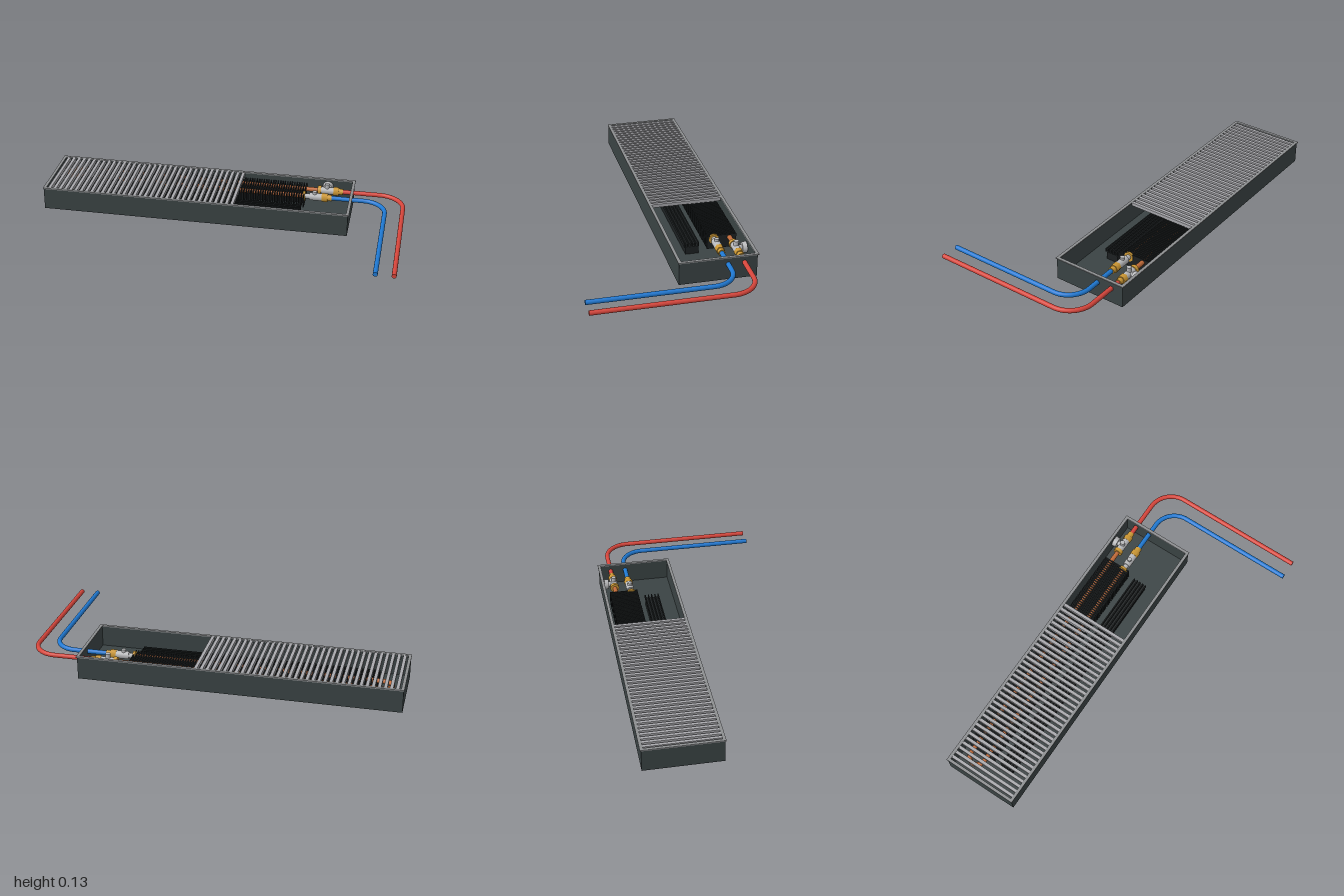
import * as THREE from 'three';

const mat = (name, color) => Object.assign(new THREE.MeshStandardMaterial({ color }), { name });

export function createModel() {
  const root = new THREE.Group();
  root.name = 'trenchConvector';
  const shell = mat('charcoal', 0x3a4344), rimGrey = mat('rimGrey', 0x8c8e90);
  const slatGrey = mat('slatGrey', 0xa9a9ad), black = mat('finBlack', 0x1d2122);
  const copper = mat('copper', 0xc06a38), brass = mat('brass', 0xcf9a35);
  const chrome = mat('chrome', 0xb9babc), red = mat('red', 0xd5453b), blue = mat('blue', 0x1f78d1);

  const add = (parent, name, geo, material, x = 0, y = 0, z = 0) => {
    const m = new THREE.Mesh(geo, material);
    m.name = name;
    m.position.set(x, y, z);
    parent.add(m);
    return m;
  };
  // box given by its limits
  const box = (parent, name, material, x0, x1, y0, y1, z0, z1) =>
    add(parent, name, new THREE.BoxGeometry(x1 - x0, y1 - y0, z1 - z0), material,
      (x0 + x1) / 2, (y0 + y1) / 2, (z0 + z1) / 2);
  // cylinder lying along x
  const rodX = (parent, name, material, x0, x1, r, y, z, sides = 20) => {
    const m = add(parent, name, new THREE.CylinderGeometry(r, r, x1 - x0, sides), material, (x0 + x1) / 2, y, z);
    m.rotation.z = Math.PI / 2;
    return m;
  };
  const group = (name) => {
    const g = new THREE.Group();
    g.name = name;
    root.add(g);
    return g;
  };

  const X0 = -0.997, X1 = 0.703, Z0 = -0.456, Z1 = -0.048, TOP = 0.122, T = 0.008;
  const PIPE_Y = 0.087, BACK_Z = -0.388, FRONT_Z = -0.303;

  // open trench casing
  const casing = group('casing');
  box(casing, 'floor', shell, X0, X1, 0, T, Z0, Z1);
  box(casing, 'frontWall', shell, X0, X1, T, TOP, Z1 - T, Z1);
  box(casing, 'backWall', shell, X0, X1, T, TOP, Z0, Z0 + T);
  box(casing, 'leftEndWall', shell, X1 - T, X1, T, TOP, Z0 + T, Z1 - T);
  box(casing, 'rightEndWall', shell, X0, X0 + T, T, TOP, Z0 + T, Z1 - T);

  // flat frame around the opening
  const rim = group('rim');
  const RX0 = -1, RX1 = 0.708, RZ0 = -0.462, RZ1 = -0.044, W = 0.016, RT = 0.128;
  box(rim, 'rimFront', rimGrey, RX0, RX1, TOP, RT, RZ1 - W, RZ1);
  box(rim, 'rimBack', rimGrey, RX0, RX1, TOP, RT, RZ0, RZ0 + W);
  box(rim, 'rimLeft', rimGrey, RX1 - W, RX1, TOP, RT, RZ0 + W, RZ1 - W);
  box(rim, 'rimRight', rimGrey, RX0, RX0 + W, TOP, RT, RZ0 + W, RZ1 - W);

  // grille slats over most of the trench
  const grille = group('grille');
  const SLATS = 35, first = -0.966, last = 0.068;
  for (let i = 0; i < SLATS; i++) {
    const x = first + (last - first) * i / (SLATS - 1);
    box(grille, 'slat', slatGrey, x - 0.0085, x + 0.0085, 0.108, 0.127, RZ0 + W, RZ1 - W);
  }

  // heat exchanger: copper loop through black fins
  const exchanger = group('heatExchanger');
  rodX(exchanger, 'backTube', copper, -0.89, 0.51, 0.0125, PIPE_Y, BACK_Z);
  rodX(exchanger, 'frontTube', copper, -0.89, 0.45, 0.0125, PIPE_Y, FRONT_Z);
  const bend = add(exchanger, 'returnBend',
    new THREE.TorusGeometry((FRONT_Z - BACK_Z) / 2, 0.0125, 14, 24, Math.PI), copper,
    -0.89, PIPE_Y, (BACK_Z + FRONT_Z) / 2);
  bend.rotation.set(Math.PI / 2, 0, Math.PI / 2);
  for (let x = -0.85; x < 0.44; x += 0.0135)
    box(exchanger, 'fin', black, x, x + 0.006, 0.03, 0.105, -0.425, -0.268);

  // long slotted air guide in front of the exchanger
  const guide = group('airGuide');
  box(guide, 'guideBody', black, -0.85, 0.43, T, 0.05, -0.225, -0.155);
  for (let i = 0; i < 5; i++) {
    const z = -0.228 + i * 0.0185;
    box(guide, 'guideRib', black, -0.85, 0.43, 0.05, 0.07, z, z + 0.006);
  }

  // return valve (front line)
  const low = group('returnValve');
  rodX(low, 'flange', brass, 0.43, 0.442, 0.026, PIPE_Y, FRONT_Z, 24);
  rodX(low, 'neck', chrome, 0.442, 0.465, 0.014, PIPE_Y, FRONT_Z);
  rodX(low, 'body', chrome, 0.465, 0.535, 0.021, PIPE_Y, FRONT_Z);
  add(low, 'spindle', new THREE.CylinderGeometry(0.012, 0.012, 0.03, 16), chrome, 0.495, 0.105, FRONT_Z);
  rodX(low, 'nut', brass, 0.535, 0.568, 0.024, PIPE_Y, FRONT_Z, 6);
  rodX(low, 'collar', brass, 0.568, 0.59, 0.018, PIPE_Y, FRONT_Z);

  // supply valve (back line) with hand wheel towards the back
  const high = group('supplyValve');
  rodX(high, 'flange', brass, 0.503, 0.522, 0.025, PIPE_Y, BACK_Z, 24);
  rodX(high, 'body', chrome, 0.522, 0.592, 0.02, PIPE_Y, BACK_Z);
  rodX(high, 'nut', brass, 0.592, 0.622, 0.024, PIPE_Y, BACK_Z, 6);
  rodX(high, 'collar', brass, 0.622, 0.645, 0.017, PIPE_Y, BACK_Z);
  const stem = add(high, 'stem', new THREE.CylinderGeometry(0.014, 0.014, 0.04, 16), chrome, 0.555, PIPE_Y, -0.405);
  const wheel = add(high, 'handWheel', new THREE.CylinderGeometry(0.03, 0.026, 0.024, 24), chrome, 0.555, PIPE_Y, -0.43);
  stem.rotation.x = wheel.rotation.x = -Math.PI / 2;
  add(high, 'topCap', new THREE.CylinderGeometry(0.013, 0.013, 0.04, 16), chrome, 0.555, 0.109, BACK_Z);

  // connection pipes: straight, quarter bend, straight to the front
  const supply = (name, material, xStart, z, xEnd, r) => {
    const v = (x, zz) => new THREE.Vector3(x, PIPE_Y, zz);
    const k = r * 0.4477, zEnd = 0.463, R = 0.0125;
    const path = new THREE.CurvePath();
    path.add(new THREE.LineCurve3(v(xStart, z), v(xEnd - r, z)));
    path.add(new THREE.CubicBezierCurve3(v(xEnd - r, z), v(xEnd - k, z), v(xEnd, z + k), v(xEnd, z + r)));
    path.add(new THREE.LineCurve3(v(xEnd, z + r), v(xEnd, zEnd)));
    const g = group(name);
    add(g, 'tube', new THREE.TubeGeometry(path, 120, R, 20), material);
    add(g, 'endCap', new THREE.CircleGeometry(R, 20), material, xEnd, PIPE_Y, zEnd);
  };
  supply('supplyPipe', red, 0.64, BACK_Z, 0.9865, 0.135);
  supply('returnPipe', blue, 0.585, FRONT_Z, 0.892, 0.125);

  return root;
}
